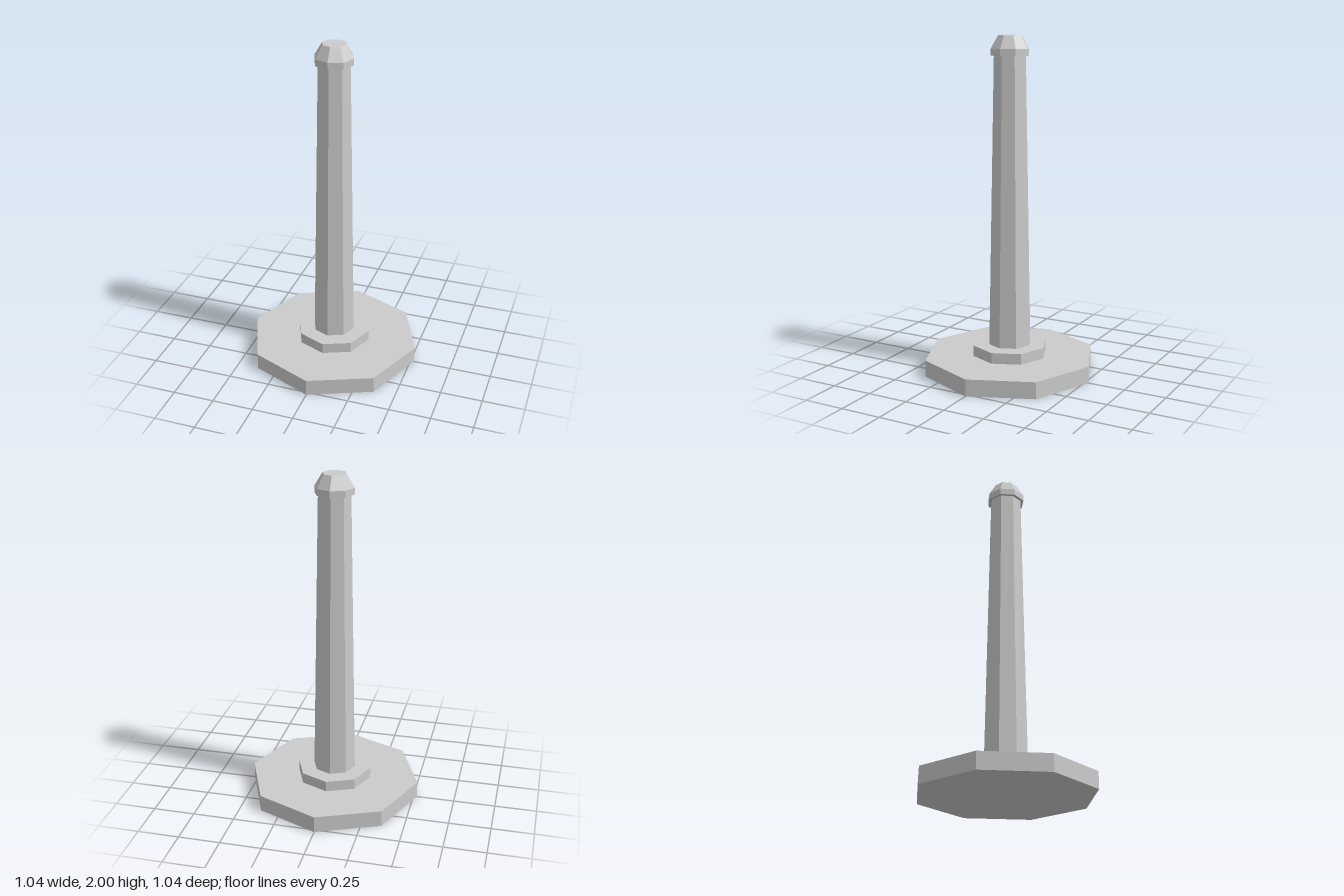
import * as THREE from 'three';

const SIDES = 8;

export function createModel() {
  const group = new THREE.Group();
  const material = new THREE.MeshStandardMaterial({ color: 0xcccccc, flatShading: true });

  // Octagonal section between two heights, with a corner facing the front
  const addSection = (name, bottomRadius, topRadius, y0, y1) => {
    const geometry = new THREE.CylinderGeometry(topRadius, bottomRadius, y1 - y0, SIDES);
    const mesh = new THREE.Mesh(geometry, material);
    mesh.name = name;
    mesh.position.y = (y0 + y1) / 2;
    group.add(mesh);
  };

  // Stepped foot
  addSection('base', 0.522, 0.522, 0, 0.1);
  addSection('plinth', 0.227, 0.227, 0.1, 0.165);

  // Tapering post
  addSection('shaft', 0.129, 0.096, 0.165, 1.885);

  // Collar and bevelled top as one closed profile
  const capProfile = [[0, 1.885], [0.115, 1.885], [0.115, 1.924], [0.07, 2], [0, 2]]
    .map(([r, y]) => new THREE.Vector2(r, y));
  const cap = new THREE.Mesh(new THREE.LatheGeometry(capProfile, SIDES), material);
  cap.name = 'cap';
  group.add(cap);

  return group;
}
